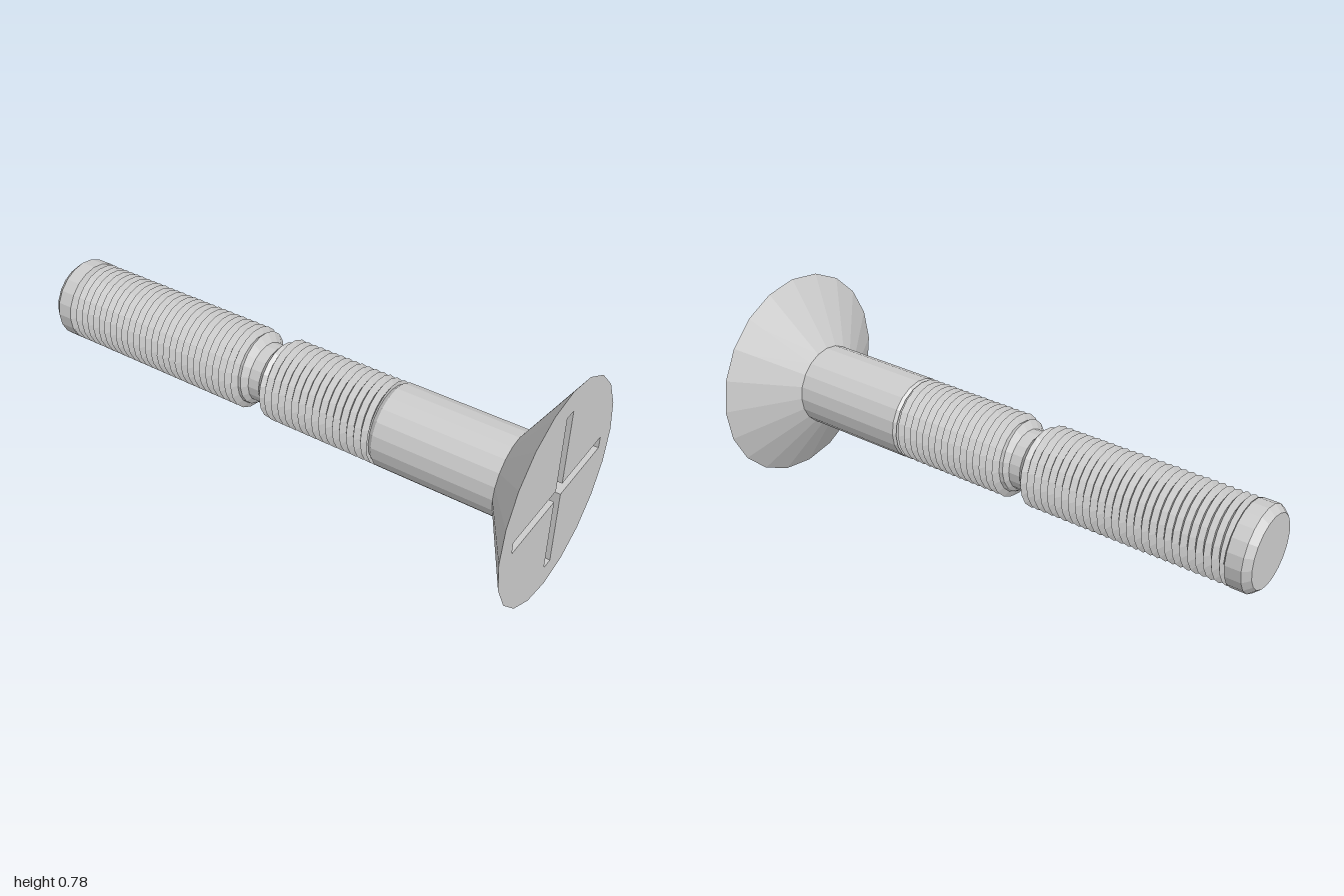
import * as THREE from 'three';

const SIDES = 20;
const CY = 0.391; // height of the screw axis
const R = 0.15; // shank radius
const ROOT = 0.127; // thread root radius
const NECK = 0.109;
const PITCH = 0.0277;

export function createModel() {
  const group = new THREE.Group();
  const material = new THREE.MeshStandardMaterial({ color: 0xcccccc, flatShading: true });
  const add = (name, geometry) => {
    const mesh = new THREE.Mesh(geometry, material);
    mesh.name = name;
    mesh.position.y = CY;
    group.add(mesh);
  };

  // Turned part along z, profile given as [radius, z] with z rising
  const turned = (name, profile) => {
    const points = profile.map(([r, z]) => new THREE.Vector2(r, z));
    add(name, new THREE.LatheGeometry(points, SIDES).rotateX(Math.PI / 2));
  };

  // Helical V thread between two z values, kept inside a radius envelope
  const thread = (name, z0, z1, envelope) => {
    const pos = [];
    const index = [];
    const rows = 2 * Math.ceil((z1 - z0) / PITCH) + 3;
    for (let j = 0; j <= rows; j++) {
      for (let i = 0; i <= SIDES; i++) {
        const a = (i / SIDES) * Math.PI * 2;
        const z = THREE.MathUtils.clamp(z0 + PITCH * (j / 2 - 1 + i / SIDES), z0, z1);
        const r = Math.min(j % 2 ? R : ROOT, envelope(z));
        pos.push(r * Math.cos(a), r * Math.sin(a), z);
        if (j < rows && i < SIDES) {
          const k = j * (SIDES + 1) + i;
          const up = k + SIDES + 1;
          index.push(k, k + 1, up + 1, k, up + 1, up);
        }
      }
    }
    const g = new THREE.BufferGeometry();
    g.setAttribute('position', new THREE.Float32BufferAttribute(pos, 3));
    g.setIndex(index);
    g.computeVertexNormals();
    add(name, g);
  };

  // Cross-shaped slot outline
  const w = 0.022, l = 0.305;
  const cross = [];
  for (let q = 0; q < 4; q++) {
    for (const [x, y] of [[l, -w], [l, w], [w, w]]) {
      cross.push(new THREE.Vector2(x, y).rotateAround(new THREE.Vector2(), (q * Math.PI) / 2));
    }
  }

  // Front of the head: slotted plate whose back rim tapers with the cone
  const headR = 0.391, slotDepth = 0.04, headDepth = 0.15;
  const backR = headR - ((headR - R) * slotDepth) / headDepth;
  const rim = [];
  for (let i = 0; i < SIDES; i++) {
    const a = (i / SIDES) * Math.PI * 2;
    rim.push(new THREE.Vector2(headR * Math.cos(a), headR * Math.sin(a)));
  }
  const faceShape = new THREE.Shape(rim);
  faceShape.holes.push(new THREE.Path(cross));
  const plate = new THREE.ExtrudeGeometry(faceShape, { depth: slotDepth, bevelEnabled: false });
  const p = plate.attributes.position;
  for (let i = 0; i < p.count; i++) {
    if (p.getZ(i) < 0.001 && Math.hypot(p.getX(i), p.getY(i)) > 0.35) {
      p.setXY(i, (p.getX(i) * backR) / headR, (p.getY(i) * backR) / headR);
    }
  }
  plate.computeVertexNormals();
  add('headFace', plate.translate(0, 0, 1 - slotDepth));
  add('slotFloor', new THREE.ShapeGeometry(new THREE.Shape(cross)).translate(0, 0, 1 - slotDepth));

  // Rest of the countersunk head, plain shank, neck and tip
  turned('headCone', [[R, 1 - headDepth], [backR, 1 - slotDepth]]);
  turned('shank', [[0, 0.385], [0.135, 0.385], [R, 0.405], [R, 1 - headDepth]]);
  turned('neck', [[NECK, -0.135], [NECK, -0.07]]);
  turned('tip', [[0, -1], [0.128, -1], [R, -0.975], [R, -0.918], [0.135, -0.91], [0, -0.91]]);

  // Threads, run out towards the neck
  thread('frontThread', -0.078, 0.388, (z) => Math.min(R, NECK + 1.2 * (z + 0.078)));
  thread('rearThread', -0.915, -0.122, (z) => Math.min(R, NECK + 1.2 * (-0.122 - z)));

  return group;
}
